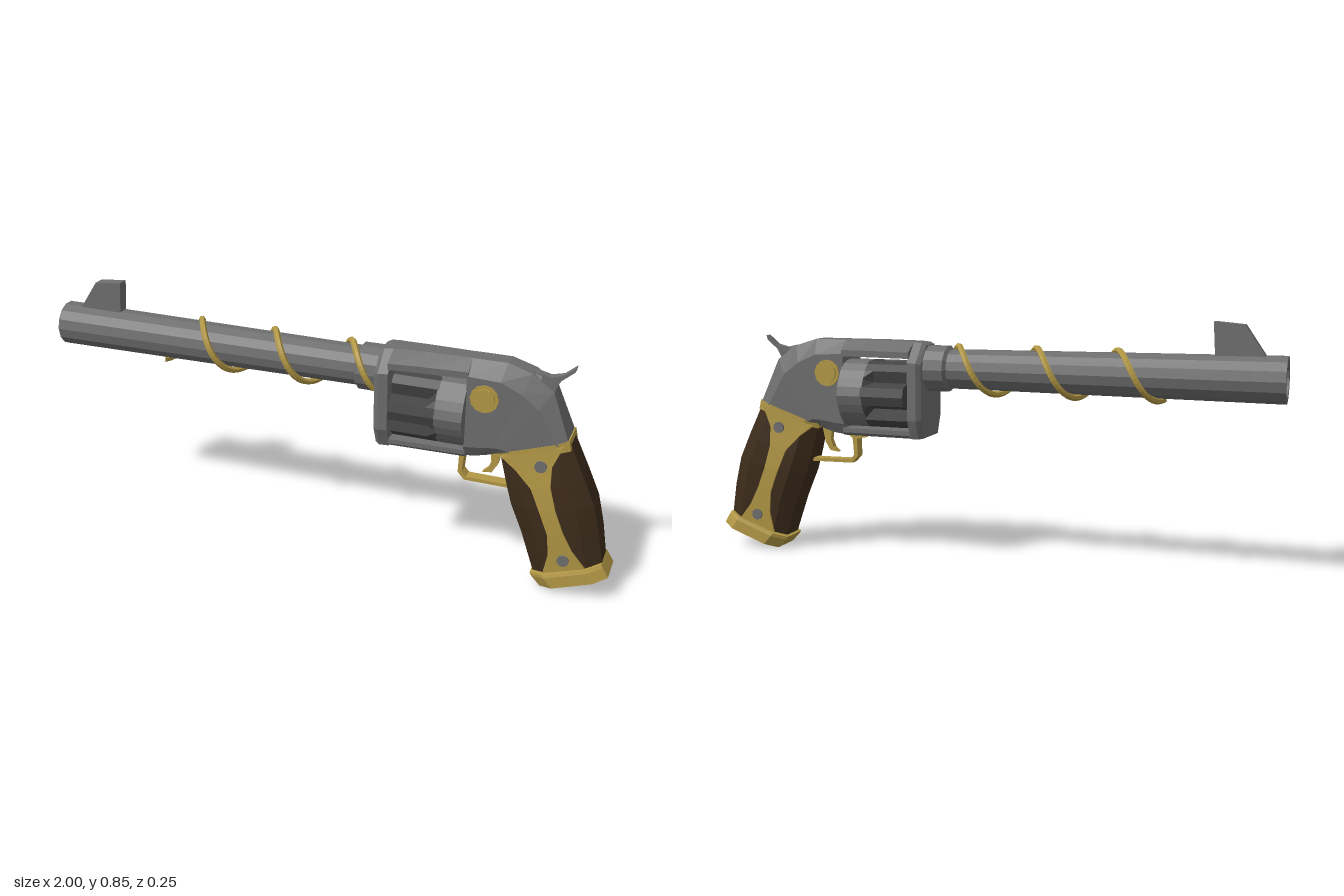
import * as THREE from 'three';

const paint = (color) => new THREE.MeshStandardMaterial({ color, flatShading: true });
const V = (x, y, z) => new THREE.Vector3(x, y, z);

// Skin a row of cross-sections (equal point counts) and close both ends.
function loft(sections) {
  const tris = [];
  const n = sections[0].length;
  for (let s = 0; s < sections.length - 1; s++) {
    for (let i = 0; i < n; i++) {
      const j = (i + 1) % n;
      const a = sections[s][i], b = sections[s][j], c = sections[s + 1][j], d = sections[s + 1][i];
      tris.push([a, b, c], [a, c, d]);
    }
  }
  const cap = (ring, flip) => {
    const mid = ring.reduce((m, p) => m.add(p), V(0, 0, 0)).divideScalar(n);
    ring.forEach((p, i) => {
      const q = ring[(i + 1) % n];
      tris.push(flip ? [mid, q, p] : [mid, p, q]);
    });
  };
  cap(sections[0], true);
  cap(sections[sections.length - 1], false);
  // Turn the faces outward whichever way the sections run.
  const volume = tris.reduce((v, [a, b, c]) => v + a.dot(b.clone().cross(c)), 0);
  const points = tris.flatMap(([a, b, c]) => (volume < 0 ? [a, c, b] : [a, b, c]));
  const geo = new THREE.BufferGeometry().setFromPoints(points);
  geo.computeVertexNormals();
  return geo;
}

// Chamfered section between two points of the side profile, w = half width.
// lo and hi are the end widths as fractions of w; c0 and c1 place the chamfers.
function section([x0, y0, x1, y1, w, lo = 0.6, hi = 0.6, c0 = 0.2, c1 = 0.8]) {
  const half = [[0, lo], [c0, 1], [c1, 1], [1, hi]];
  const at = ([t, k], side) => V(x0 + (x1 - x0) * t, y0 + (y1 - y0) * t, side * k * w);
  return [...half.map((h) => at(h, 1)), ...half.slice().reverse().map((h) => at(h, -1))];
}

function extrude(points, depth) {
  const shape = new THREE.Shape(points.map(([x, y]) => new THREE.Vector2(x, y)));
  return new THREE.ExtrudeGeometry(shape, { depth, bevelEnabled: false }).translate(0, 0, -depth / 2);
}

export function createModel() {
  const model = new THREE.Group();
  const metal = paint(0x6e6e6e), dark = paint(0x444444), gold = paint(0xb39845), wood = paint(0x3d2c1b);
  const add = (name, geo, mat) => {
    const mesh = new THREE.Mesh(geo, mat);
    mesh.name = name;
    model.add(mesh);
    return mesh;
  };

  // Hollow, slightly flared barrel with a rear collar
  const profile = [[0, -0.21], [0.08, -0.21], [0.08, -0.13], [0.068, -0.12], [0.077, 1], [0.056, 1], [0.056, 0.7], [0, 0.7]];
  const barrel = add('barrel', new THREE.LatheGeometry(profile.map(([r, y]) => new THREE.Vector2(r, y)), 14), metal);
  barrel.rotation.z = Math.PI / 2;
  barrel.position.y = 0.677;
  add('frontSight', extrude([[-0.935, 0.745], [-0.775, 0.735], [-0.767, 0.857], [-0.865, 0.848]], 0.04), metal);

  // Wire wound around the barrel
  const coil = [];
  for (let i = 0; i <= 72; i++) {
    const x = -0.61 + (0.8 * i) / 72;
    const a = (2 * Math.PI * (x + 0.46)) / 0.277;
    coil.push(V(x, 0.675 + 0.08 * Math.cos(a), 0.08 * Math.sin(a)));
  }
  add('barrelCoil', new THREE.TubeGeometry(new THREE.CatmullRomCurve3(coil), 110, 0.011, 6), gold);

  // Frame around the open cylinder window
  add('frameFront', loft([
    [0.2, 0.44, 0.2, 0.758, 0.092, 0.7, 0.4, 0.2, 0.8],
    [0.215, 0.437, 0.215, 0.765, 0.104, 0.75, 0.4, 0.2, 0.8],
    [0.248, 0.437, 0.248, 0.768, 0.1, 0.75, 0.4, 0.2, 0.8],
  ].map(section)), metal);
  add('topStrap', loft([
    [0.245, 0.715, 0.245, 0.768, 0.095, 1, 0.4, 0.1, 0.4],
    [0.36, 0.715, 0.36, 0.77, 0.084, 1, 0.4, 0.1, 0.4],
    [0.505, 0.715, 0.505, 0.77, 0.074, 1, 0.4, 0.1, 0.4],
  ].map(section)), metal);
  add('bottomStrap', loft([
    [0.24, 0.437, 0.24, 0.463, 0.08, 0.85, 1, 0.4, 0.9],
    [0.505, 0.437, 0.505, 0.463, 0.07, 0.85, 1, 0.4, 0.9],
  ].map(section)), metal);
  add('frameRear', loft([
    [0.5, 0.437, 0.5, 0.77, 0.074, 0.7, 0.42, 0.12, 0.86],
    [0.54, 0.442, 0.62, 0.77, 0.072, 0.7, 0.42, 0.12, 0.84],
    [0.58, 0.452, 0.7, 0.745, 0.07, 0.7, 0.45, 0.12, 0.8],
    [0.6, 0.46, 0.77, 0.695, 0.07, 0.7, 0.5, 0.12, 0.78],
    [0.612, 0.468, 0.832, 0.54, 0.069, 0.7, 0.8, 0.15, 0.85],
  ].map(section)), metal);

  // Cylinder: fluted front half, full rear half
  const ring = (x, valley) => Array.from({ length: 24 }, (_, i) => {
    const a = (i / 24) * Math.PI * 2;
    const r = [0.124, 0.12, valley, 0.12][i % 4];
    return V(x, 0.583 + r * Math.sin(a), r * Math.cos(a));
  });
  add('cylinderFlutes', loft([ring(0.256, 0.09), ring(0.38, 0.09), ring(0.415, 0.118)]), dark);
  add('cylinderRear', loft([ring(0.41, 0.118), ring(0.502, 0.118)]), metal);
  const axle = add('cylinderAxle', new THREE.CylinderGeometry(0.03, 0.03, 0.06, 8), dark);
  axle.rotation.z = Math.PI / 2;
  axle.position.set(0.25, 0.583, 0);

  // Round discs passing through both sides
  const disc = (name, x, y, r, depth, mat) => {
    const mesh = add(name, new THREE.CylinderGeometry(r, r, depth, 12), mat);
    mesh.rotation.x = Math.PI / 2;
    mesh.position.set(x, y, 0);
  };
  disc('frameDiscRim', 0.56, 0.655, 0.047, 0.155, gold);
  disc('frameDisc', 0.56, 0.655, 0.036, 0.168, gold);

  // Hammer with a curved spur
  add('hammer', extrude([[0.68, 0.74], [0.71, 0.745], [0.75, 0.735], [0.79, 0.745], [0.828, 0.777],
    [0.825, 0.762], [0.785, 0.728], [0.765, 0.69], [0.7, 0.67]], 0.028), metal);
  add('hammerBase', loft([
    [0.685, 0.67, 0.685, 0.748, 0.035],
    [0.725, 0.67, 0.725, 0.738, 0.035],
    [0.76, 0.67, 0.76, 0.705, 0.02],
  ].map(section)), metal);

  // Trigger and guard
  add('triggerGuard', extrude([[0.41, 0.44], [0.44, 0.425], [0.475, 0.418], [0.473, 0.355], [0.495, 0.33], [0.67, 0.328],
    [0.67, 0.34], [0.502, 0.342], [0.487, 0.36], [0.492, 0.42], [0.52, 0.44]], 0.04), gold);
  add('trigger', extrude([[0.575, 0.46], [0.582, 0.41], [0.572, 0.382], [0.553, 0.365],
    [0.585, 0.37], [0.603, 0.4], [0.615, 0.46]], 0.022), gold);

  // Wooden grip
  add('grip', loft([
    [0.614, 0.465, 0.836, 0.535, 0.066],
    [0.648, 0.34, 0.89, 0.42, 0.074],
    [0.665, 0.285, 0.93, 0.33, 0.077],
    [0.705, 0.19, 0.955, 0.23, 0.074],
    [0.752, 0.05, 0.974, 0.125, 0.066],
  ].map(section)), wood);

  // Gold collar, side plates and butt cap
  add('gripCollar', loft([
    [0.607, 0.47, 0.834, 0.548, 0.071, 0.7, 0.8],
    [0.612, 0.452, 0.842, 0.515, 0.071, 0.7, 0.8],
  ].map(section)), gold);
  add('gripSidePlates', loft([
    [0.625, 0.462, 0.82, 0.53, 0.071],
    [0.675, 0.425, 0.79, 0.455, 0.074],
    [0.73, 0.37, 0.792, 0.385, 0.079],
    [0.765, 0.29, 0.815, 0.305, 0.082],
    [0.795, 0.215, 0.845, 0.23, 0.08],
    [0.803, 0.14, 0.88, 0.165, 0.076],
    [0.79, 0.065, 0.925, 0.11, 0.072],
  ].map((s) => section([...s, 1, 1]))), gold);
  add('buttCap', loft([
    [0.745, 0.045, 0.973, 0.128, 0.08],
    [0.752, 0.035, 0.98, 0.118, 0.084],
    [0.782, 0.004, 1, 0.085, 0.085],
  ].map((s) => section([...s, 0.65, 0.65]))), gold);
  add('buttInset', loft([
    [0.793, 0.012, 0.985, 0.085, 0.07],
    [0.797, 0.003, 0.989, 0.076, 0.07],
  ].map(section)), wood);
  disc('upperGripScrew', 0.755, 0.453, 0.02, 0.16, metal);
  disc('lowerGripScrew', 0.853, 0.128, 0.02, 0.16, metal);

  return model;
}
